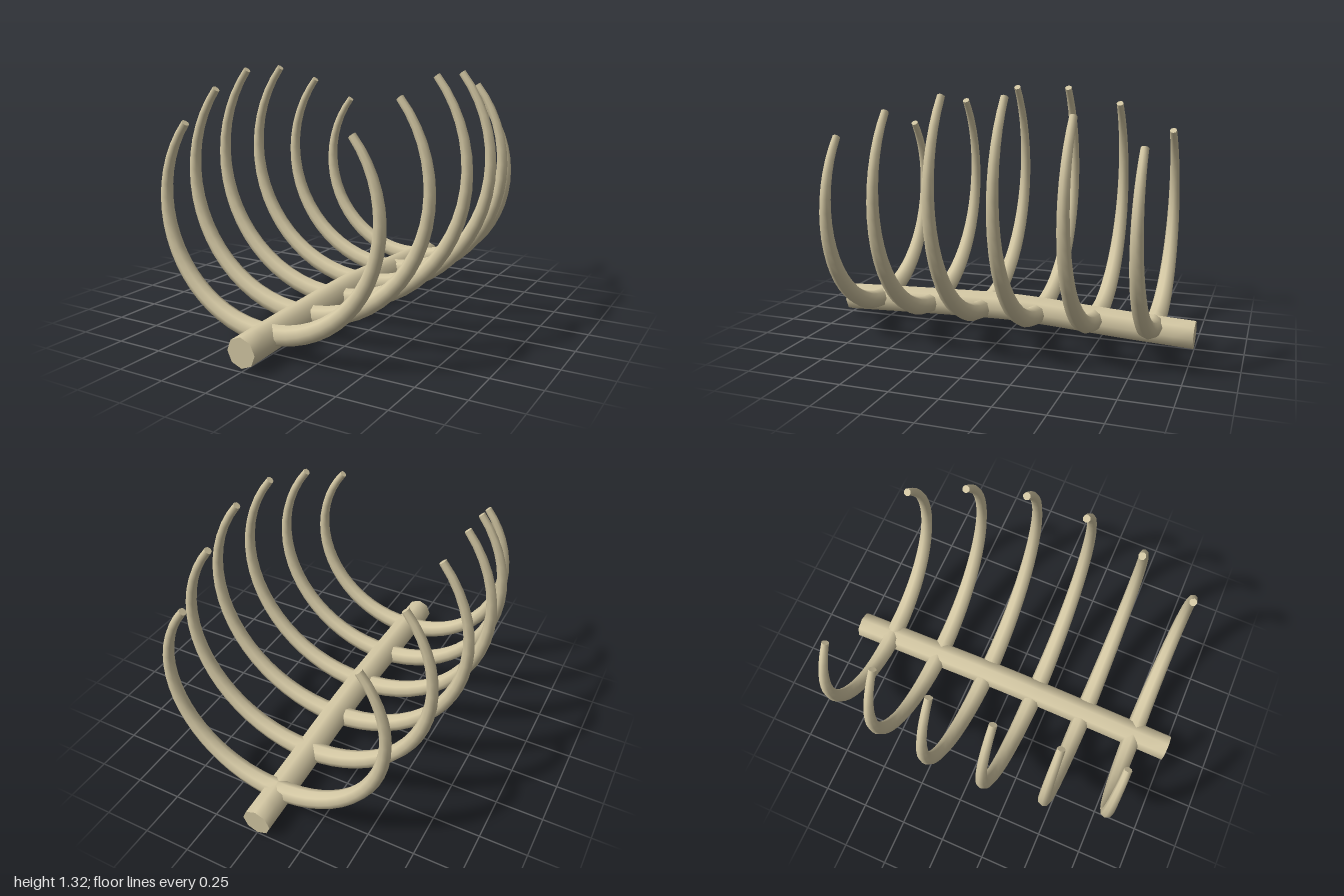
import * as THREE from 'three';

const SIDES = 8;

// Sweep a tapering, capped octagonal tube along a planar curve.
// planeNormal is perpendicular to the plane the curve lies in.
function taperedTube(curve, segments, r0, r1, planeNormal) {
  const pos = [], index = [];
  const ring = (t) => {
    const p = curve.getPoint(t), T = curve.getTangent(t);
    const B = new THREE.Vector3().crossVectors(T, planeNormal).normalize();
    const r = THREE.MathUtils.lerp(r0, r1, t);
    for (let j = 0; j < SIDES; j++) {
      const a = (j / SIDES) * Math.PI * 2;
      const v = p.clone().addScaledVector(planeNormal, Math.cos(a) * r).addScaledVector(B, Math.sin(a) * r);
      pos.push(v.x, v.y, v.z);
    }
    return p;
  };
  // Side wall
  for (let i = 0; i <= segments; i++) ring(i / segments);
  for (let i = 0; i < segments; i++) {
    for (let j = 0; j < SIDES; j++) {
      const k = (j + 1) % SIDES;
      const a = i * SIDES + j, b = i * SIDES + k, c = b + SIDES, d = a + SIDES;
      index.push(a, b, d, b, c, d);
    }
  }
  // Flat end caps with their own vertices
  for (const t of [0, 1]) {
    const base = pos.length / 3;
    const p = ring(t);
    pos.push(p.x, p.y, p.z);
    for (let j = 0; j < SIDES; j++) {
      const a = base + j, b = base + (j + 1) % SIDES;
      if (t) index.push(base + SIDES, a, b);
      else index.push(base + SIDES, b, a);
    }
  }
  const g = new THREE.BufferGeometry();
  g.setAttribute('position', new THREE.Float32BufferAttribute(pos, 3));
  g.setIndex(index);
  g.computeVertexNormals();
  return g;
}

// Circular rib arc, rising from the spine and curling inward at the tip
class RibCurve extends THREE.Curve {
  constructor(radius, side, z) {
    super();
    Object.assign(this, { radius, side, z });
  }
  getPoint(t, target = new THREE.Vector3()) {
    const a = -Math.PI / 2 + t * Math.PI * 0.72;
    return target.set(
      this.side * this.radius * Math.cos(a),
      0.12 + this.radius * (1 + Math.sin(a)),
      this.z
    );
  }
}

export function createModel() {
  const model = new THREE.Group();
  model.name = 'ribcage';
  const bone = new THREE.MeshStandardMaterial({ color: 0xd4c8a4 });
  bone.name = 'bone';

  // Gently arched spine
  const spinePath = new THREE.CatmullRomCurve3(
    [[-1, 0.083], [-0.6, 0.101], [-0.2, 0.125], [0, 0.132], [0.2, 0.129], [0.6, 0.115], [1, 0.098]]
      .map(([z, y]) => new THREE.Vector3(0, y, z))
  );
  const spine = new THREE.Mesh(
    taperedTube(spinePath, 24, 0.077, 0.077, new THREE.Vector3(1, 0, 0)), bone);
  spine.name = 'spine';
  model.add(spine);

  // Six rib pairs, largest in the middle
  const radii = [0.595, 0.68, 0.73, 0.73, 0.68, 0.595];
  radii.forEach((radius, i) => {
    const pair = new THREE.Group();
    pair.name = `ribPair${i + 1}`;
    for (const side of [1, -1]) {
      const path = new RibCurve(radius, side, 0.79 - i * 0.316);
      const rib = new THREE.Mesh(
        taperedTube(path, 20, 0.054, 0.02, new THREE.Vector3(0, 0, 1)), bone);
      rib.name = side > 0 ? 'leftRib' : 'rightRib';
      pair.add(rib);
    }
    model.add(pair);
  });

  return model;
}
